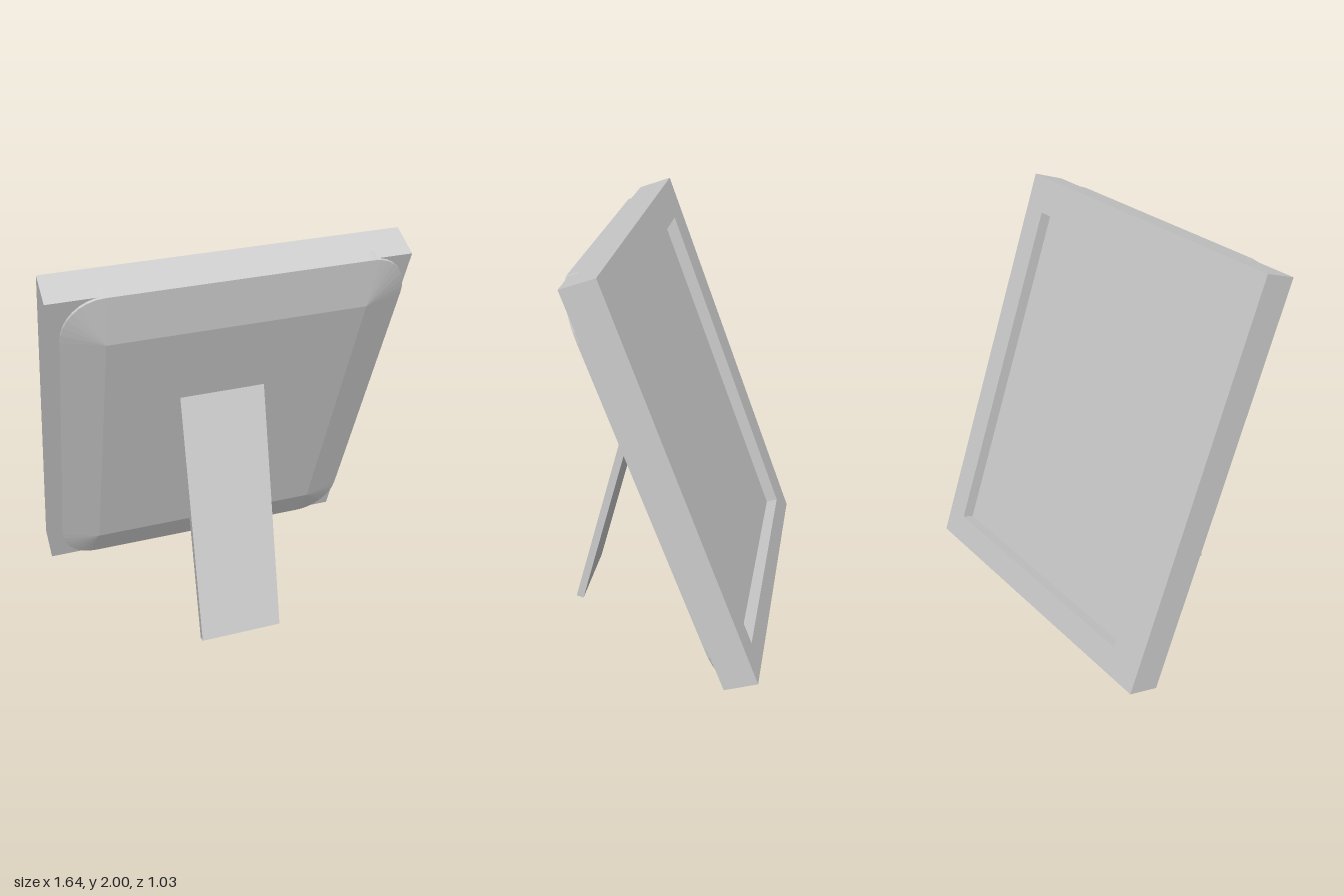
import * as THREE from 'three';

const grey = () => new THREE.MeshStandardMaterial({ color: 0xcccccc, flatShading: true });

function addMesh(parent, name, geometry, x = 0, y = 0, z = 0) {
  const mesh = new THREE.Mesh(geometry, grey());
  mesh.name = name;
  mesh.position.set(x, y, z);
  parent.add(mesh);
  return mesh;
}

// Closed loop of a rectangle whose corners are quarter ellipses of radii rx, ry
function cornerLoop(cx, hx, hy, rx, ry, z, segments = 8) {
  const points = [];
  for (let corner = 0; corner < 4; corner++) {
    const sx = corner === 0 || corner === 3 ? 1 : -1;
    const sy = corner < 2 ? 1 : -1;
    for (let i = 0; i <= segments; i++) {
      const a = (corner + i / segments) * Math.PI / 2;
      points.push([cx + sx * hx + rx * Math.cos(a), sy * hy + ry * Math.sin(a), z]);
    }
  }
  return points;
}

// Skins successive loops and closes the last one with a cap
function skinLoops(loops) {
  const n = loops[0].length;
  const indices = [];
  for (let l = 0; l < loops.length - 1; l++) {
    for (let i = 0; i < n; i++) {
      const a = l * n + i, b = l * n + (i + 1) % n;
      indices.push(a, b, b + n, a, b + n, a + n);
    }
  }
  const top = (loops.length - 1) * n;
  for (let i = 1; i < n - 1; i++) indices.push(top, top + i, top + i + 1);
  const geometry = new THREE.BufferGeometry();
  geometry.setAttribute('position', new THREE.Float32BufferAttribute(loops.flat(2), 3));
  geometry.setIndex(indices);
  const flat = geometry.toNonIndexed();
  flat.computeVertexNormals();
  return flat;
}

export function createModel() {
  const model = new THREE.Group();
  model.name = 'pictureFrame';

  // Leaning body: local z = 0 is the rear plane, the picture faces -z
  const body = new THREE.Group();
  body.name = 'frameBody';
  body.position.set(0, 0.977, 0);
  body.rotation.x = THREE.MathUtils.degToRad(20);
  model.add(body);

  // Rectangular border with a slightly off-centre opening
  const W = 0.8225, H = 1.027, D = 0.17;
  const left = -0.64, right = 0.697, low = -0.886, high = 0.857;
  const border = new THREE.Shape([[-W, -H], [W, -H], [W, H], [-W, H]].map(p => new THREE.Vector2(...p)));
  border.holes.push(new THREE.Path([[left, low], [left, high], [right, high], [right, low]].map(p => new THREE.Vector2(...p))));
  addMesh(body, 'border', new THREE.ExtrudeGeometry(border, { depth: D, bevelEnabled: false }), 0, 0, -D);

  // Recessed picture panel
  addMesh(body, 'picturePanel', new THREE.BoxGeometry(right - left, high - low, 0.11),
    (left + right) / 2, (low + high) / 2, -0.055);

  // Bevelled back cover with rounded corners
  const cx = 0.03, hx = 0.6025, hy = 0.79, rx = 0.19, ry = 0.24;
  addMesh(body, 'backCover', skinLoops([
    cornerLoop(cx, hx, hy, rx, ry, -0.045),
    cornerLoop(cx, hx, hy, rx, ry, 0.012),
    cornerLoop(cx, hx, hy, 0, 0, 0.064),
  ]));

  // Support leg, its upper end sunk into the back cover
  const tilt = THREE.MathUtils.degToRad(15.2), length = 1.35;
  const leg = addMesh(model, 'supportLeg', new THREE.BoxGeometry(0.415, length, 0.038), 0,
    0.005 + Math.cos(tilt) * length / 2, 0.4975 - Math.sin(tilt) * length / 2);
  leg.rotation.x = -tilt;

  return model;
}
